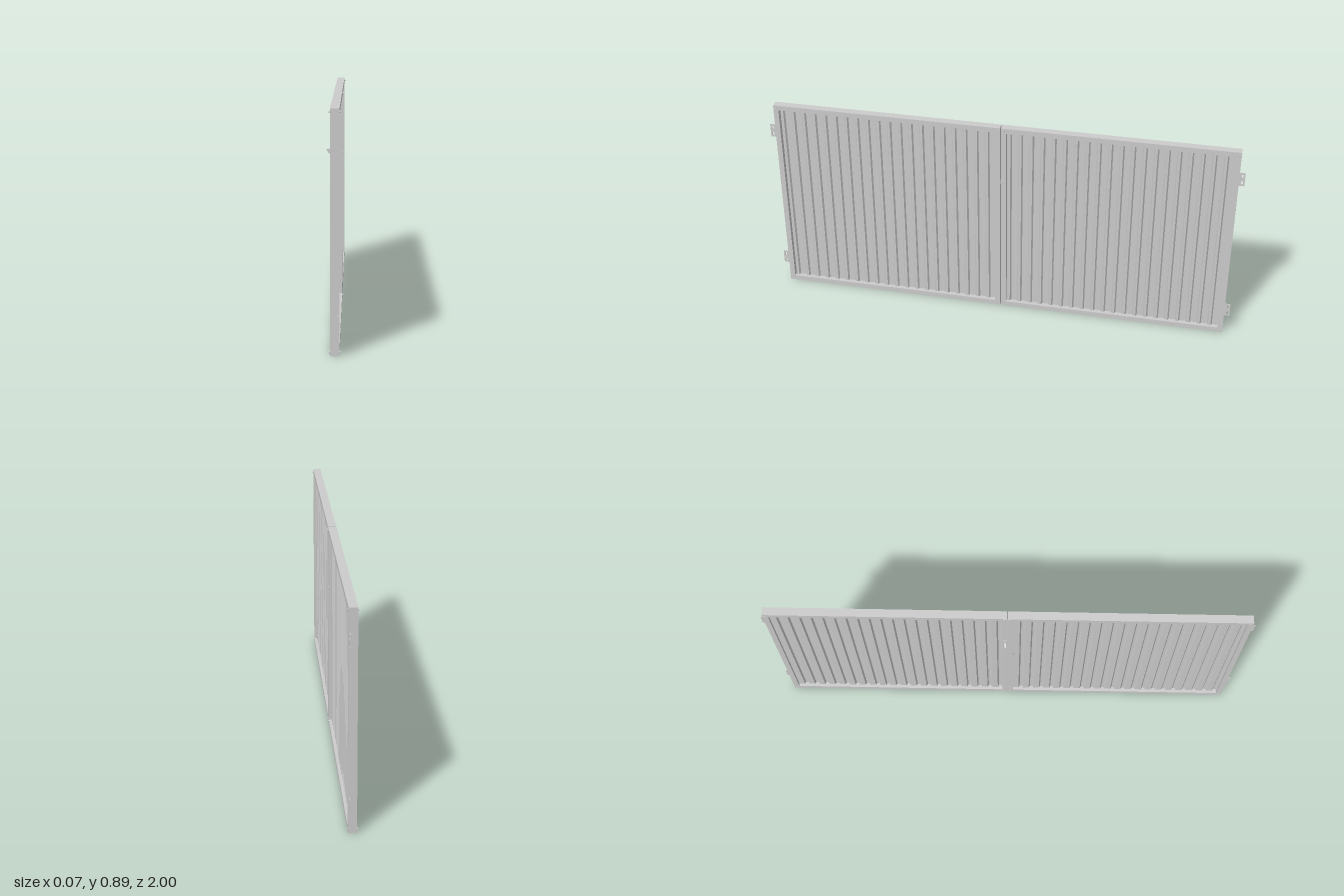
import * as THREE from 'three';

const H = 0.893;                 // gate height
const X0 = -0.002, X1 = 0.032;   // frame thickness range
const Z0 = 0.002, Z1 = 0.977;    // one leaf, from the middle gap to the hinge side
const BAR = 0.022;               // frame bar width

const material = new THREE.MeshStandardMaterial({ color: 0xcccccc });
const sheetMaterial = new THREE.MeshStandardMaterial({ color: 0xcccccc, side: THREE.DoubleSide });

function add(parent, name, geometry, x = 0, y = 0, z = 0, mat = material) {
  const mesh = new THREE.Mesh(geometry, mat);
  mesh.name = name;
  mesh.position.set(x, y, z);
  parent.add(mesh);
  return mesh;
}

function rect(Type, x0, y0, x1, y1) {
  const p = new Type();
  p.moveTo(x0, y0);
  p.lineTo(x1, y0);
  p.lineTo(x1, y1);
  p.lineTo(x0, y1);
  p.closePath();
  return p;
}

// Shape drawn in (-z, y), extruded along x
function extrudeX(shape, depth) {
  return new THREE.ExtrudeGeometry(shape, { depth, bevelEnabled: false, curveSegments: 12 }).rotateY(Math.PI / 2);
}

// Cylinder lying along x
function rod(r0, r1, length, sides = 16) {
  return new THREE.CylinderGeometry(r0, r1, length, sides).rotateZ(Math.PI / 2);
}

// Trapezoidal corrugation extruded upward
function corrugatedSheet(zStart, zEnd) {
  const ribs = 20, step = (zEnd - zStart) / ribs, t = 0.0015;
  const line = [];
  for (let i = 0; i < ribs; i++) {
    const z = zStart + i * step;
    line.push([-0.004, z], [-0.004, z + step * 0.55], [0.004, z + step * 0.67], [0.004, z + step * 0.88]);
  }
  line.push([-0.004, zEnd]);
  const outline = [
    ...line.map(([x, z]) => new THREE.Vector2(x, -z)),
    ...line.reverse().map(([x, z]) => new THREE.Vector2(x + t, -z)),
  ];
  const geometry = new THREE.ExtrudeGeometry(new THREE.Shape(outline), { depth: H - 2 * BAR, bevelEnabled: false });
  return geometry.rotateX(-Math.PI / 2);
}

// Leaf: frame, sheet, corner bolts and hinge plates; side is +1 or -1 along z
function leaf(side) {
  const group = new THREE.Group();
  group.name = side > 0 ? 'frontLeaf' : 'rearLeaf';
  const a = side > 0 ? -Z1 : Z0, b = side > 0 ? -Z0 : Z1;

  const frame = rect(THREE.Shape, a, 0, b, H);
  frame.holes.push(rect(THREE.Path, a + BAR, BAR, b - BAR, H - BAR));
  add(group, 'frame', extrudeX(frame, X1 - X0), X0);

  add(group, 'corrugatedSheet', corrugatedSheet(-b + BAR, -a - BAR), 0.014, BAR, 0, sheetMaterial);

  for (const z of [Z0 + 0.011, Z1 - 0.011])
    for (const y of [0.012, H - 0.012])
      add(group, 'cornerBolt', rod(0.004, 0.004, 0.042, 12), 0.015, y, side * z);

  for (const y of [0.12, 0.77]) {
    const z0 = -side * 0.968, z1 = -side;
    const plate = rect(THREE.Shape, Math.min(z0, z1), -0.03, Math.max(z0, z1), 0.03);
    for (const hy of [-0.015, 0.015]) {
      const hole = new THREE.Path();
      hole.absellipse(-side * 0.989, hy, 0.004, 0.008, 0, Math.PI * 2);
      plate.holes.push(hole);
    }
    add(group, 'hingePlate', extrudeX(plate, 0.003), 0.026, y);
  }
  return group;
}

// Latch with back plate, neck, fan-shaped grip and a stub on the other side
function latch() {
  const group = new THREE.Group();
  group.name = 'latch';
  const z = -0.01;
  add(group, 'backPlate', new THREE.BoxGeometry(0.002, 0.06, 0.016), -0.004, 0.633, z);
  add(group, 'neck', rod(0.006, 0.006, 0.01), -0.009, 0.637, z);

  const grip = new THREE.Shape();
  grip.moveTo(-0.035, 0.638);
  grip.quadraticCurveTo(-0.026, 0.624, -0.015, 0.616);
  grip.quadraticCurveTo(-0.006, 0.622, -0.006, 0.637);
  grip.quadraticCurveTo(-0.008, 0.65, -0.014, 0.65);
  grip.quadraticCurveTo(-0.022, 0.642, -0.035, 0.643);
  grip.closePath();
  add(group, 'grip', new THREE.ExtrudeGeometry(grip, { depth: 0.006, bevelEnabled: false, curveSegments: 8 }), 0, 0, z - 0.003);

  add(group, 'latchBolt', new THREE.BoxGeometry(0.01, 0.02, 0.03), 0.015, 0.63, 0);
  add(group, 'keyStub', rod(0.005, 0.005, 0.004), 0.032, 0.63, z);
  return group;
}

export function createModel() {
  const gate = new THREE.Group();
  gate.name = 'doubleGate';
  gate.add(leaf(1), leaf(-1), latch());
  // Strip that covers the gap between the leaves
  add(gate, 'coverStrip', new THREE.BoxGeometry(0.0015, H - 0.004, 0.024), X0 - 0.0007, H / 2, 0);
  return gate;
}
